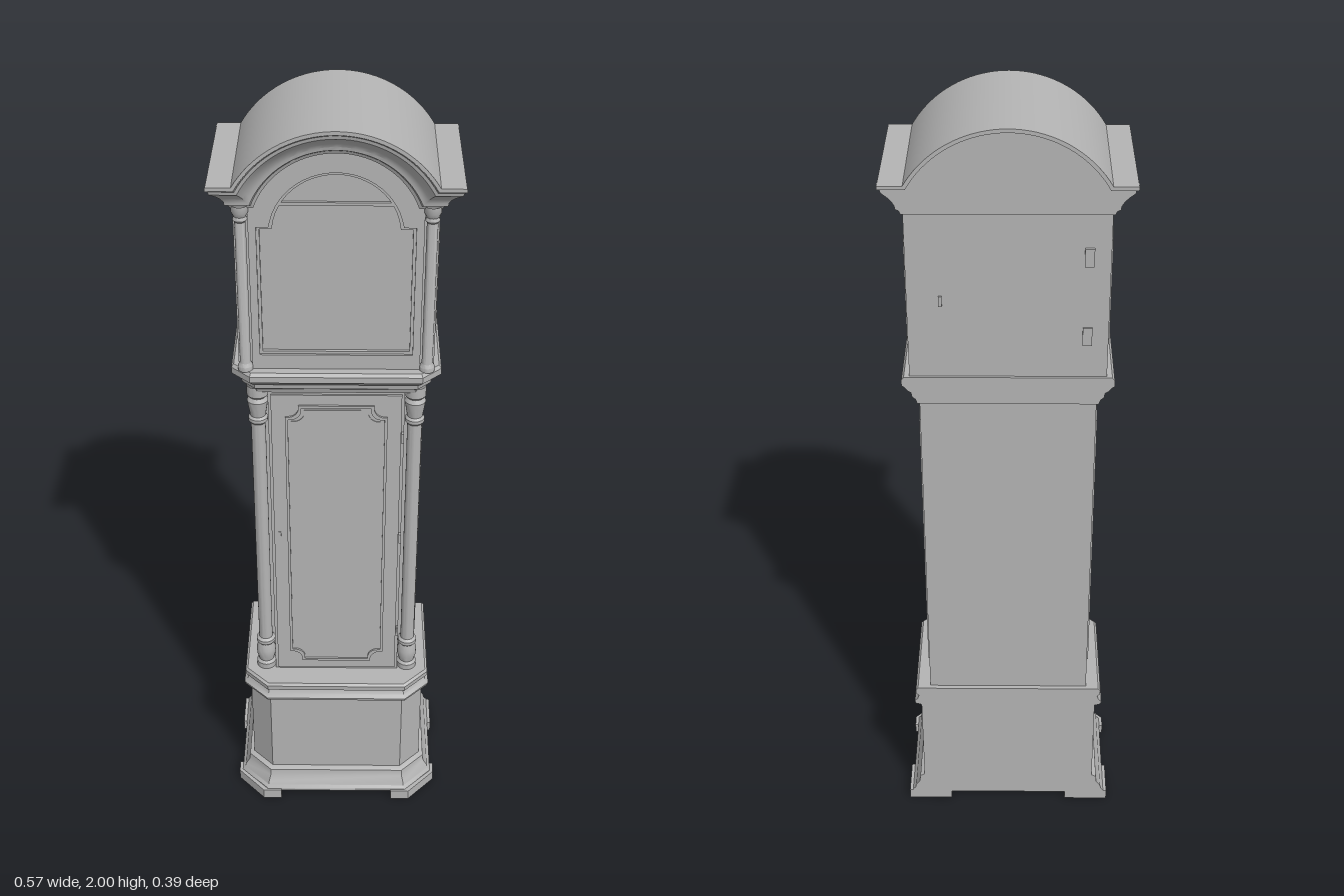
import * as THREE from 'three';
import { toCreasedNormals } from 'three/addons/utils/BufferGeometryUtils.js';

const wood = new THREE.MeshStandardMaterial({ color: 0xb4b4b4 });
wood.name = 'pale grey wood';

export function createModel() {
  const root = new THREE.Group();
  root.name = 'longcaseClock';

  const add = (name, geo, parent = root) => {
    const m = new THREE.Mesh(toCreasedNormals(geo, 0.6), wood);
    m.name = name;
    parent.add(m);
    return m;
  };
  const mirror = pts => pts.concat(pts.map(([x, y]) => [-x, y]).reverse());
  const poly = pts => new THREE.Shape(pts.map(p => new THREE.Vector2(p[0], p[1])));
  const extrude = (shape, z0, z1) =>
    new THREE.ExtrudeGeometry(shape, { depth: z1 - z0, bevelEnabled: false, curveSegments: 8 }).translate(0, 0, z0);
  const box = (name, w, h, d, x, y, z) => add(name, new THREE.BoxGeometry(w, h, d).translate(x, y, z));

  // Skin over rows of points; rows run upwards, optional closed loop with caps
  function skin(rows, closed) {
    const pos = [];
    const n = rows[0].length;
    for (let j = 0; j < rows.length - 1; j++) {
      for (let i = 0; i < (closed ? n : n - 1); i++) {
        const k = (i + 1) % n;
        const a = rows[j][i], b = rows[j][k], c = rows[j + 1][i], d = rows[j + 1][k];
        pos.push(...a, ...c, ...b, ...b, ...c, ...d);
      }
    }
    if (closed) {
      for (const [row, up] of [[rows[0], false], [rows[rows.length - 1], true]]) {
        const flat = row.map(p => new THREE.Vector2(p[0], p[2]));
        for (const [a, b, c] of THREE.ShapeUtils.triangulateShape(flat, [])) {
          const turn = THREE.ShapeUtils.area([flat[a], flat[b], flat[c]]) < 0;
          const order = turn === up ? [a, b, c] : [a, c, b];
          order.forEach(i => pos.push(...row[i]));
        }
      }
    }
    const g = new THREE.BufferGeometry();
    g.setAttribute('position', new THREE.Float32BufferAttribute(pos, 3));
    return g;
  }
  // Stack of plan outlines: profile holds [outward offset, height]
  const stack = (outline, profile) =>
    skin(profile.map(([o, y]) => outline(o).map(([x, z]) => [x, y, z])), true);

  // Plan outline with cut front corners
  const cutPlan = (w, f, back, cut) => o => mirror([
    [w + o, back], [w + o, f - cut + 0.414 * o], [w - cut + 0.414 * o, f + o]]);

  // Feet
  for (const s of [1, -1]) {
    const front = [[0.278, 0.085], [0.278, 0.118], [0.205, 0.195], [0.155, 0.195],
      [0.155, 0.165], [0.193, 0.165], [0.248, 0.108], [0.248, 0.085]];
    const rear = [[0.278, -0.18], [0.278, -0.08], [0.248, -0.08], [0.248, -0.15], [0.16, -0.15], [0.16, -0.18]];
    for (const [name, pts] of [['frontFoot', front], ['rearFoot', rear]]) {
      const side = s > 0 ? pts : pts.map(([x, z]) => [-x, z]).reverse();
      add(name, stack(() => side, [[0, 0], [0, 0.03]]));
    }
  }

  // Base with plinth and upper moulding
  const base = cutPlan(0.235, 0.155, -0.18, 0.055);
  add('plinth', stack(base, [[0.034, 0.025], [0.034, 0.032], [0.027, 0.04], [0.025, 0.05],
    [0.014, 0.065], [0.012, 0.085], [0, 0.092]]));
  add('baseBox', stack(base, [[0, 0.09], [0, 0.37]]));
  add('baseMoulding', stack(base, [[0, 0.355], [0.016, 0.36], [0.018, 0.368], [0.01, 0.377],
    [0.006, 0.388], [0.013, 0.394], [0.014, 0.408], [0.008, 0.414]]));

  // Trunk with square notches for the corner columns
  add('trunk', stack(() => mirror([[0.21, -0.168], [0.21, 0.055], [0.166, 0.055], [0.166, 0.1]]),
    [[0, 0.41], [0, 1.32]]));
  const ledge = cutPlan(0.215, 0.105, -0.175, 0.025);
  add('hoodLedge', stack(ledge, [[0, 1.31], [0.004, 1.322], [0.012, 1.328], [0.014, 1.34], [0.022, 1.345],
    [0.03, 1.355], [0.036, 1.358], [0.036, 1.374], [0.03, 1.382]]));

  // Turned columns
  const turned = (name, pts, x, z) => {
    for (const s of [1, -1]) {
      add(name, new THREE.LatheGeometry(pts.map(p => new THREE.Vector2(...p)), 20).translate(s * x, 0, z));
    }
  };
  turned('trunkColumn', [[0.026, 0.41], [0.026, 0.43], [0.02, 0.437], [0.025, 0.455], [0.026, 0.475],
    [0.021, 0.495], [0.025, 0.5], [0.025, 0.51], [0.018, 0.516], [0.018, 1.21], [0.024, 1.217], [0.024, 1.226],
    [0.019, 1.232], [0.022, 1.25], [0.026, 1.275], [0.02, 1.285], [0.026, 1.292], [0.026, 1.32]], 0.192, 0.08);
  turned('hoodColumn', [[0.018, 1.38], [0.018, 1.392], [0.013, 1.4], [0.013, 1.765], [0.017, 1.77],
    [0.014, 1.778], [0.02, 1.79], [0.02, 1.806]], 0.215, 0.112);

  // Panel outline with hollow corners, centred on the origin
  function panelShape(w, h, r, step) {
    const corner = [];
    for (let i = 0; i <= 6; i++) {
      const a = Math.PI * (1.5 - i / 12);
      corner.push([w + r * Math.cos(a), h + r * Math.sin(a)]);
    }
    corner.unshift([w, h - r - step], [w - step, h - r - step]);
    corner.push([w - r - step, h - step], [w - r - step, h]);
    // keep the hollow arc inside the stepped corner
    for (let i = 2; i <= 8; i++) { corner[i][0] -= step; corner[i][1] -= step; }
    const top = mirror(corner);
    return poly(top.concat(top.map(([x, y]) => [-x, -y])));
  }
  function panel(name, w, h, x, y, z, turn) {
    const g = new THREE.Group();
    g.name = name;
    const rim = panelShape(w, h, 0.026, 0.007);
    rim.holes.push(panelShape(w - 0.007, h - 0.007, 0.026, 0.007));
    add('panelRim', extrude(rim, -0.002, 0.005), g);
    add('panelField', extrude(panelShape(w - 0.014, h - 0.014, 0.026, 0.007), -0.002, 0.002), g);
    g.position.set(x, y, z);
    g.rotation.y = turn;
    root.add(g);
  }
  box('trunkDoor', 0.318, 0.88, 0.006, 0, 0.862, 0.102);
  panel('trunkDoorPanel', 0.125, 0.412, 0, 0.862, 0.105, 0);
  for (const s of [1, -1]) {
    panel('trunkSidePanel', 0.076, 0.412, s * 0.21, 0.862, -0.06, s * Math.PI / 2);
    panel('hoodSidePanel', 0.087, 0.16, s * 0.232, 1.588, -0.043, s * Math.PI / 2);
  }

  // Arched line of the hood, lowered by d, from right to left
  const R = 0.265, CY = 1.735, EAVE = 1.87, N = 36;
  function arch(d) {
    const a = Math.asin((EAVE - d - CY) / (R - d));
    return Array.from({ length: N + 1 }, (_, i) => {
      const t = a + (Math.PI - 2 * a) * i / N;
      return [(R - d) * Math.cos(t), CY + (R - d) * Math.sin(t)];
    });
  }
  const arched = (w, y0, y1, d) => [[w, y0], [w, y1], ...arch(d), [-w, y1], [-w, y0]];

  // Hood case, open-fronted door frame and inner bead
  add('hoodCase', extrude(poly(arched(0.232, 1.38, 1.84, 0.03)), -0.168, 0.1));
  function doorLine(e) {
    const pts = [[0.18 - e, 1.42 + e], [0.18 - e, 1.75 - e], [0.152 - e, 1.75 - e]];
    for (let i = 1; i < 24; i++) {
      const a = 0.12 + (Math.PI - 0.24) * i / 24;
      pts.push([(0.152 - e) * Math.cos(a), 1.732 + (0.15 - e) * Math.sin(a)]);
    }
    return [...pts, [e - 0.152, 1.75 - e], [e - 0.18, 1.75 - e], [e - 0.18, 1.42 + e]];
  }
  const frame = poly(arched(0.198, 1.38, 1.805, 0.065));
  frame.holes.push(poly(doorLine(0)));
  add('hoodDoorFrame', extrude(frame, 0.098, 0.114));
  const bead = poly(doorLine(-0.001));
  bead.holes.push(poly(doorLine(0.007)));
  add('hoodDoorBead', extrude(bead, 0.098, 0.108));

  // Arched cornice: profile of [drop, outward offset] swept round sides and front
  const profile = [[0.07, 0], [0.062, 0.004], [0.058, 0.012], [0.05, 0.013], [0.04, 0.019], [0.03, 0.029],
    [0.024, 0.037], [0.02, 0.042], [0.012, 0.044], [0.008, 0.05], [0, 0.05]];
  add('cornice', skin(profile.map(([d, o]) => {
    const w = 0.235 + o, f = 0.12 + o, y = EAVE - d;
    return [[w, y, -0.18], [w, y, f], ...arch(d).map(p => [...p, f]), [-w, y, f], [-w, y, -0.18]];
  }), false));
  const ends = profile.map(([d, o]) => [0.235 + o, EAVE - d]);
  add('corniceBack', extrude(poly([...ends, ...arch(0.002),
    ...ends.map(([x, y]) => [-x, y]).reverse()]), -0.185, -0.175));
  // Underside closing the cornice against the case
  box('corniceSoffit', 0.468, 0.008, 0.285, 0, 1.804, -0.035);
  add('roof', extrude(poly([[0.284, EAVE - 0.009], [0.284, EAVE], ...arch(0), [-0.284, EAVE],
    [-0.284, EAVE - 0.009], ...arch(0.009).reverse()]), -0.195, 0.169));

  // Hinges, latch and keyhole plate
  for (const y of [0.555, 0.87, 1.18]) box('trunkHinge', 0.006, 0.028, 0.012, 0.163, y, 0.104);
  for (const y of [1.49, 1.69]) box('rearHinge', 0.022, 0.045, 0.008, -0.183, y, -0.17);
  box('rearLatch', 0.008, 0.025, 0.008, 0.155, 1.58, -0.17);
  box('keyholePlate', 0.007, 0.016, 0.004, -0.145, 0.88, 0.106);
  return root;
}
